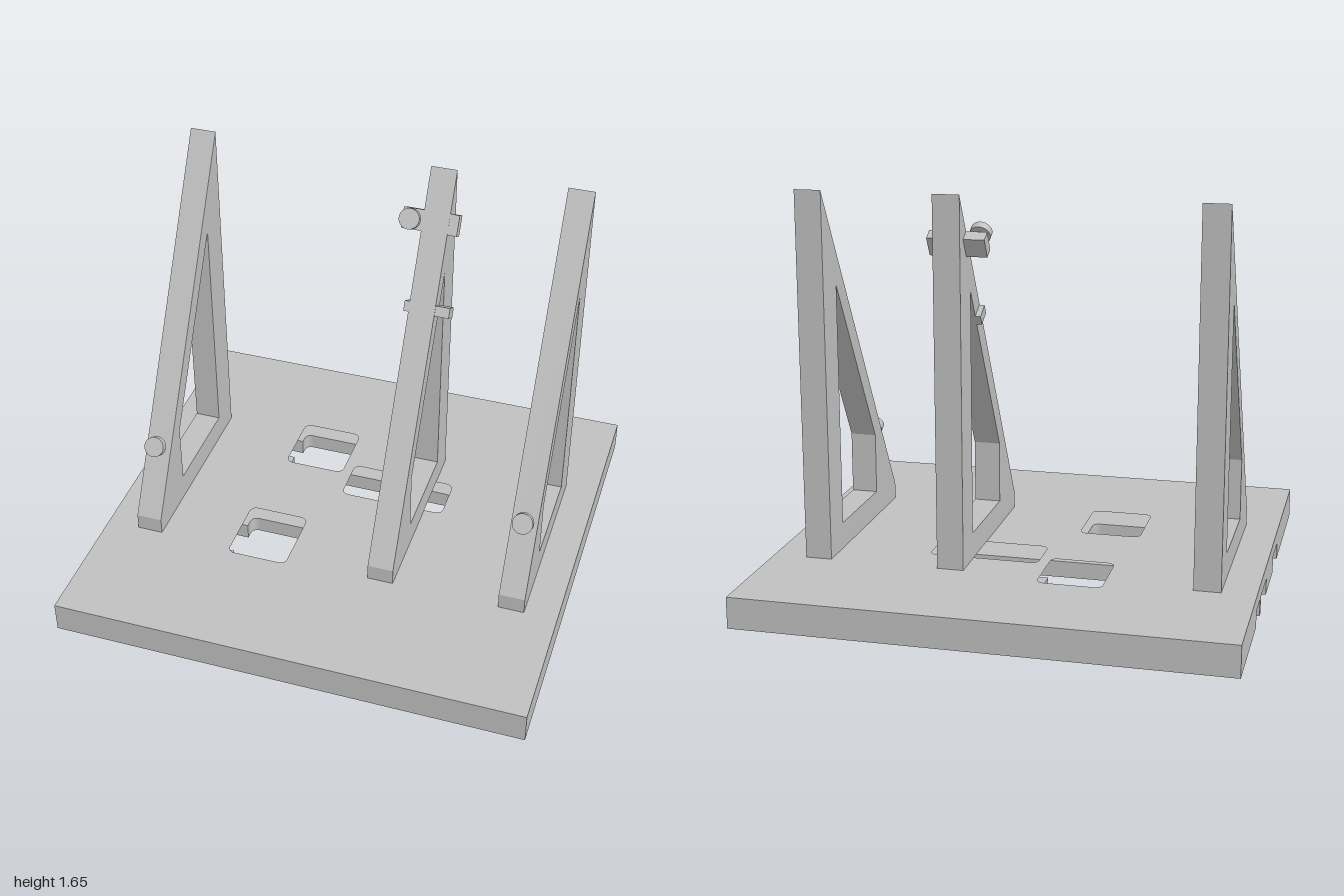
import * as THREE from 'three';

const grey = new THREE.MeshStandardMaterial({ color: 0xc0c0c0 });
grey.name = 'plainGrey';

const TILT = Math.PI / 3; // direction the sloping edge faces, measured from up

// Trace a closed outline of [a, b, cornerRadius] points
function trace(path, pts) {
  const n = pts.length;
  const toward = (p, q, d) => {
    const len = Math.hypot(q[0] - p[0], q[1] - p[1]);
    return [p[0] + (q[0] - p[0]) * d / len, p[1] + (q[1] - p[1]) * d / len];
  };
  pts.forEach((p, i) => {
    const r = p[2] || 0;
    const start = toward(p, pts[(i + n - 1) % n], r);
    const end = toward(p, pts[(i + 1) % n], r);
    if (i === 0) path.moveTo(...start); else path.lineTo(...start);
    if (r) path.quadraticCurveTo(p[0], p[1], ...end);
  });
  path.closePath();
  return path;
}

const flip = pts => pts.map(([x, z, r]) => [x, -z, r]);

function addMesh(parent, name, geometry, x = 0, y = 0, z = 0) {
  const mesh = new THREE.Mesh(geometry, grey);
  mesh.name = name;
  mesh.position.set(x, y, z);
  parent.add(mesh);
  return mesh;
}

// Horizontal layer of the base plate between two heights
function addLayer(parent, name, outline, holes, y0, y1) {
  const shape = trace(new THREE.Shape(), flip(outline));
  shape.holes.push(...holes);
  const geo = new THREE.ExtrudeGeometry(shape, { depth: y1 - y0, bevelEnabled: false, curveSegments: 16 });
  geo.rotateX(-Math.PI / 2);
  addMesh(parent, name, geo, 0, y0, 0);
}

function createBase() {
  const base = new THREE.Group();
  base.name = 'base';
  const R = 0.035;
  const D = 0.945;

  // Upper layer with three rounded windows
  const windows = [
    [-0.395, -0.13, -0.505, -0.225],
    [-0.085, 0.375, -0.29, -0.09],
    [-0.435, -0.175, 0.12, 0.42],
  ].map(([x0, x1, z0, z1]) => trace(new THREE.Path(),
    flip([[x0, z0, R], [x1, z0, R], [x1, z1, R], [x0, z1, R]])));
  addLayer(base, 'plateTop', [[-1, -D], [1, -D], [1, D], [-1, D]], windows, 0.07, 0.13);

  // Lower layers: cable channels run from the windows out to the right edge
  const channelled = [
    [-1, -D], [1, -D], [1, D], [-1, D],
    [-1, 0.35], [-0.435, 0.35], [-0.435, 0.42, R], [-0.175, 0.42, R],
    [-0.175, 0.12, R], [-0.435, 0.12, R], [-0.435, 0.18], [-1, 0.18],
    [-1, -0.09], [0.375, -0.09, R], [0.375, -0.29, R], [-0.13, -0.29],
    [-0.13, -0.505, R], [-0.395, -0.505, R], [-0.395, -0.45], [-1, -0.45],
  ];
  const recesses = [];
  for (const x of [-0.87, 0.87]) for (const z of [-0.82, 0.82]) {
    recesses.push(new THREE.Path().absarc(x, z, 0.068, 0, Math.PI * 2));
  }
  addLayer(base, 'plateChannels', channelled, [], 0.015, 0.07);
  addLayer(base, 'plateUnderside', channelled, recesses, 0, 0.015);
  addMesh(base, 'channelRib', new THREE.BoxGeometry(0.605, 0.07, 0.04), -0.6975, 0.035, -0.31);
  return base;
}

// Upright triangular frame, profile drawn as [-z, y]
function addFrame(parent, name, x) {
  const shape = trace(new THREE.Shape(), [[-0.395, 0.13], [0.447, 0.13], [0.447, 1.655], [-0.395, 0.2]]);
  shape.holes.push(trace(new THREE.Path(), [[-0.135, 0.24], [-0.135, 0.5], [0.3, 1.25], [0.3, 0.24]]));
  const geo = new THREE.ExtrudeGeometry(shape, { depth: 0.11, bevelEnabled: false });
  geo.translate(0, 0, -0.055);
  geo.rotateY(Math.PI / 2);
  addMesh(parent, name, geo, x, 0, 0);
}

// Group on the sloping edge: local y points away from the slope, local z down it
function slopeGroup(parent, name, x, y) {
  const group = new THREE.Group();
  group.name = name;
  group.position.set(x, y, 0.395 - (y - 0.2) * 0.5787);
  group.rotation.x = TILT;
  parent.add(group);
  return group;
}

function addKnob(parent, name, x, y) {
  const knob = slopeGroup(parent, name, x, y);
  addMesh(knob, 'stem', new THREE.CylinderGeometry(0.02, 0.02, 0.05, 32), 0, 0.015, 0);
  addMesh(knob, 'cap', new THREE.CylinderGeometry(0.043, 0.043, 0.033, 40), 0, 0.046, 0);
}

export function createModel() {
  const model = new THREE.Group();
  model.name = 'triangleStand';
  model.add(createBase());

  addFrame(model, 'rightFrame', -0.805);
  addFrame(model, 'middleFrame', 0.241);
  addFrame(model, 'leftFrame', 0.805);

  addKnob(model, 'rightKnob', -0.805, 0.48);
  addKnob(model, 'leftKnob', 0.805, 0.48);
  addKnob(model, 'upperKnob', 0.143, 1.463);

  // Cross blocks set into the slope of the middle frame
  const upper = slopeGroup(model, 'upperBlock', 0.2175, 1.463);
  addMesh(upper, 'block', new THREE.BoxGeometry(0.235, 0.05, 0.087), 0, -0.026, 0);
  const lower = slopeGroup(model, 'lowerBlock', 0.26, 1.155);
  addMesh(lower, 'block', new THREE.BoxGeometry(0.192, 0.072, 0.043), 0, -0.04, 0);
  return model;
}
